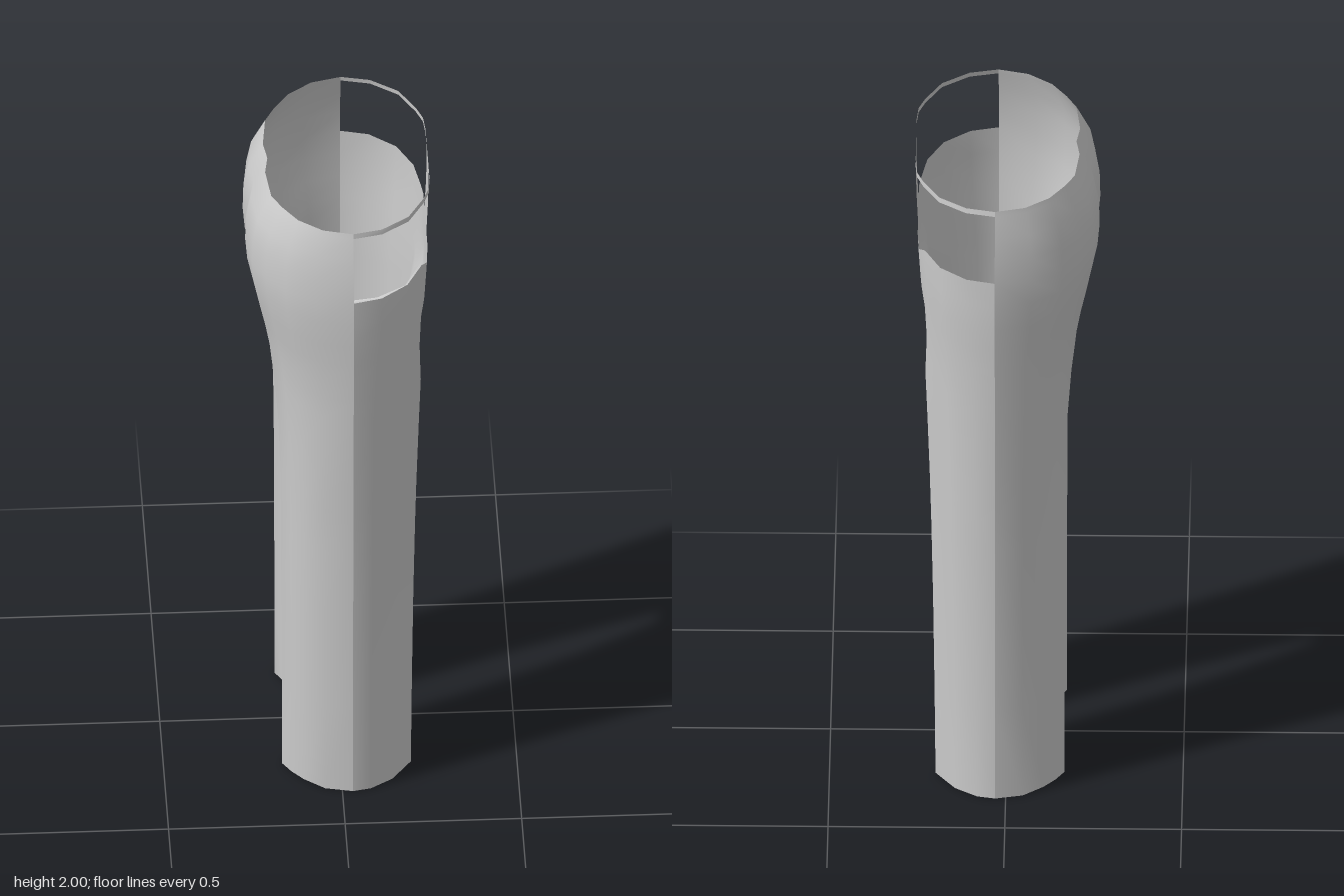
import * as THREE from 'three';
import { mergeVertices } from 'three/addons/utils/BufferGeometryUtils.js';

const MID = 0.03; // x of the side and inner seams

// Half hip outline, centre front -> side -> centre back (unit x, unit z)
const HIP = [[1, 0], [1, .14], [1, .3], [.98, .45], [.9, .58], [.7, .8], [.36, .95], [0, 1],
  [-.36, .94], [-.65, .8], [-.83, .63], [-.95, .48], [-1, .18], [-.96, 0]];
// Leg outline with the same columns, closed by five inner-thigh columns
const LEG = [[.62, -.74], [.72, -.6], [.82, -.42], [.91, -.2], [1, 0], [.67, .6], [.3, .92], [0, 1],
  [-.4, .87], [-.7, .52], [-.87, .23], [-1, -.08], [-.9, -.35], [-.75, -.62],
  [-.52, -.84], [-.25, -.97], [0, -1], [.22, -.97], [.42, -.9]];
// Crotch curve on the centre plane (x, y)
const CROTCH = [[-.165, 1.54], [-.07, 1.495], [MID, 1.48], [.115, 1.49], [.195, 1.53]];

const HIP_Y = 1.62, THIGH_Y = 1.35;
// Heights: y, front x, back x, outer z, inner z
const RINGS = [
  [0, .2, -.165, .35, .09], [.3, .203, -.165, .352, .087], [.6, .207, -.166, .357, .082],
  [.85, .212, -.167, .364, .07], [1, .216, -.168, .37, .06], [1.2, .223, -.173, .38, .037],
  [THIGH_Y, .229, -.184, .387, .017], [1.42, .232, -.195, .39, .01], [1.48, .235, -.204, .393, .005],
  [1.55, .239, -.22, .396, .002], [HIP_Y, .244, -.239, .4, 0],
  [1.7, .249, -.256, .402, 0], [1.77, .252, -.262, .401, 0], [1.85, .256, -.26, .394, 0],
  [1.92, .258, -.246, .383, 0], [1.985, .258, -.213, .368, 0], [2, .258, -.205, .365, 0]];
const HIP_ROW = RINGS.findIndex(r => r[0] === HIP_Y);
const CUT_ROW = RINGS.findIndex(r => r[0] === 1.77);
const BAND_ROW = RINGS.findIndex(r => r[0] === 1.985);

// Point of the left half at a column and ring; the leg outline blends into the hips
function point(col, row) {
  const n = LEG.length, c = (col + n) % n;
  const [y, xf, xb, zo, zi] = RINGS[row];
  const place = ([u, w], zMid, zHalf) =>
    new THREE.Vector3(MID + u * (u > 0 ? xf - MID : MID - xb), y, zMid + w * zHalf);
  const k = THREE.MathUtils.clamp((y - THIGH_Y) / (HIP_Y - THIGH_Y), 0, 1);
  const leg = place(LEG[c], (zo + zi) / 2, (zo - zi) / 2);
  if (c >= HIP.length) {
    const [cx, cy] = CROTCH[c - HIP.length];
    if (k > 0) leg.y = THREE.MathUtils.lerp(THIGH_Y, cy, k);
    leg.x = THREE.MathUtils.lerp(leg.x, cx, k);
    leg.z *= 1 - k;
    return leg;
  }
  const p = leg.lerp(place(HIP[c], 0, zo), k);
  // stepped lower edge of the pocket opening
  if (row === CUT_ROW && c > 0 && c < 8) p.y = c < 3 ? 1.765 : c === 3 ? 1.75 : 1.78;
  return p;
}

// Both mirrored halves of a patch of columns and rings, as one smooth sheet
function sheet(name, patches, material) {
  const pos = [];
  const tri = (a, b, c) => {
    for (const p of [a, b, c]) pos.push(p.x, p.y, p.z);
    for (const p of [a, c, b]) pos.push(p.x, p.y, p.z === 0 ? 0 : -p.z);
  };
  for (const [c0, c1, r0, r1] of patches)
    for (let c = c0; c < c1; c++)
      for (let r = r0; r < r1; r++) {
        const a = point(c, r), b = point(c + 1, r), d = point(c, r + 1), e = point(c + 1, r + 1);
        tri(a, d, b);
        tri(b, d, e);
      }
  let geo = new THREE.BufferGeometry();
  geo.setAttribute('position', new THREE.Float32BufferAttribute(pos, 3));
  geo = mergeVertices(geo, 1e-5);
  geo.computeVertexNormals();
  const mesh = new THREE.Mesh(geo, material);
  mesh.name = name;
  return mesh;
}

export function createModel() {
  const model = new THREE.Group();
  model.name = 'trousers';
  const cloth = new THREE.MeshStandardMaterial({ color: 0xcccccc, side: THREE.DoubleSide });
  const top = RINGS.length - 1;

  // Front legs up to the pocket openings, with the strip at the centre front
  model.add(sheet('frontPanel',
    [[-3, 7, 0, HIP_ROW], [0, 7, HIP_ROW, CUT_ROW], [0, 1, CUT_ROW, BAND_ROW]], cloth));
  // Back legs and seat up to the waist
  model.add(sheet('backPanel', [[7, 16, 0, HIP_ROW], [7, 13, HIP_ROW, top]], cloth));
  // Thin band over the openings
  model.add(sheet('frontWaistband', [[0, 7, BAND_ROW, top]], cloth));
  return model;
}
